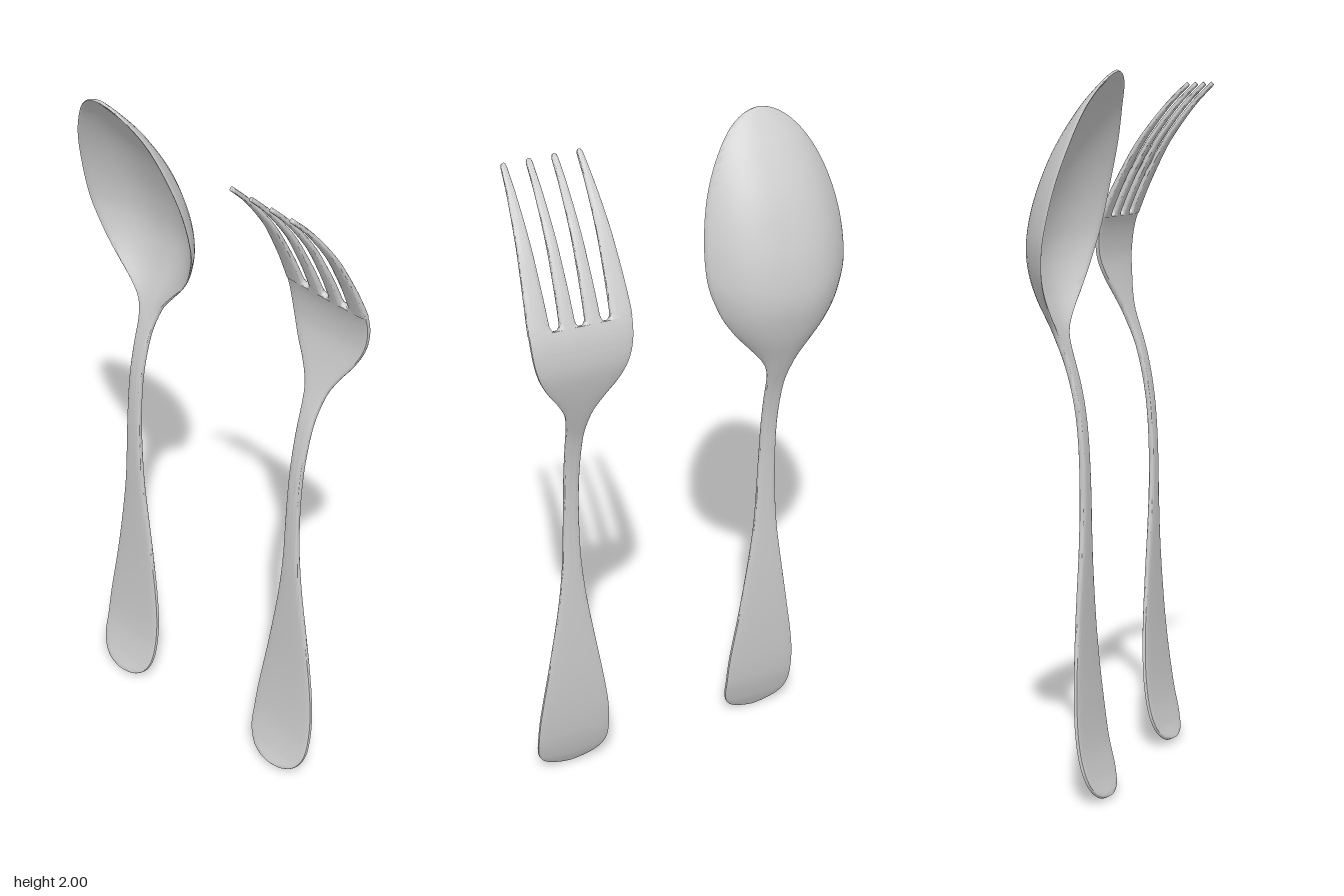
import * as THREE from 'three';
import { toCreasedNormals } from 'three/addons/utils/BufferGeometryUtils.js';

const material = new THREE.MeshStandardMaterial({ color: 0xcccccc });

// Smooth curve through [y, value] pairs, clamped at both ends
function curve(pts) {
  const n = pts.length;
  const slope = (i) => {
    const a = pts[Math.max(i - 1, 0)], b = pts[Math.min(i + 1, n - 1)];
    return (b[1] - a[1]) / (b[0] - a[0]);
  };
  return (y) => {
    if (y <= pts[0][0]) return pts[0][1];
    if (y >= pts[n - 1][0]) return pts[n - 1][1];
    let i = 0;
    while (y > pts[i + 1][0]) i++;
    const h = pts[i + 1][0] - pts[i][0], t = (y - pts[i][0]) / h;
    const t2 = t * t, t3 = t2 * t;
    return (2 * t3 - 3 * t2 + 1) * pts[i][1] + (t3 - 2 * t2 + t) * h * slope(i)
      + (3 * t2 - 2 * t3) * pts[i + 1][1] + (t3 - t2) * h * slope(i + 1);
  };
}

// Width factor that rounds an outline off within h of its end
const roundEnd = (dist, h, p) =>
  dist >= h ? 1 : Math.pow(Math.max(0, 1 - Math.pow(1 - dist / h, p)), 1 / p);

// Closed strip of metal: edges left(y)..right(y), bent along z(y), optionally dished
function strip(name, { y0, y1, left, right, z, thick, dish = () => 0, rows = 110 }) {
  const ring = 40, pos = [], idx = [], e = 1e-3, power = 2.8;
  for (let i = 0; i <= rows; i++) {
    const y = y0 + (y1 - y0) * (0.5 - 0.5 * Math.cos(Math.PI * i / rows));
    const mid = (left(y) + right(y)) / 2;
    const w = Math.max((right(y) - left(y)) / 2, 1e-4);
    const ya = Math.max(y - e, y0), yb = Math.min(y + e, y1);
    for (let j = 0; j < ring; j++) {
      const a = j / ring * Math.PI * 2, u = Math.cos(a), s = Math.sin(a);
      const bowl = Math.pow(Math.abs(u), power);
      const height = (v) => z(v) + dish(v) * bowl;
      const fx = dish(y) * power * Math.pow(Math.abs(u), power - 1) * Math.sign(u) / w;
      const fy = (height(yb) - height(ya)) / (yb - ya);
      const off = thick(y) * Math.sign(s) * Math.pow(Math.abs(s), 0.4) / Math.hypot(fx, fy, 1);
      pos.push(mid + u * w - fx * off, y - fy * off, height(y) + off);
    }
  }
  for (let i = 0; i < rows; i++) {
    for (let j = 0; j < ring; j++) {
      const k = (j + 1) % ring, a = i * ring + j, b = i * ring + k;
      idx.push(a, a + ring, b, b, a + ring, b + ring);
    }
  }
  // end caps
  for (const row of [0, rows]) {
    const c = pos.length / 3, base = row * ring, y = row ? y1 : y0;
    pos.push((left(y) + right(y)) / 2, y, z(y));
    for (let j = 0; j < ring; j++) {
      const a = base + j, b = base + (j + 1) % ring;
      idx.push(c, ...(row ? [b, a] : [a, b]));
    }
  }
  const geo = new THREE.BufferGeometry();
  geo.setAttribute('position', new THREE.Float32BufferAttribute(pos, 3));
  geo.setIndex(idx);
  const mesh = new THREE.Mesh(toCreasedNormals(geo, 0.9), material);
  mesh.name = name;
  return mesh;
}

function createSpoon() {
  const y0 = 0.007, y1 = 1.997;
  const outline = curve([[0, 0.108], [0.15, 0.109], [0.22, 0.106], [0.3, 0.096], [0.4, 0.08],
    [0.6, 0.05], [0.7, 0.037], [0.8, 0.03], [1, 0.024], [1.2, 0.026], [1.25, 0.032], [1.3, 0.05],
    [1.35, 0.09], [1.4, 0.134], [1.45, 0.168], [1.5, 0.19], [1.55, 0.205], [1.61, 0.21], [2, 0.21]]);
  const half = (y) => outline(y) * roundEnd(y - y0, 0.11, 2.5) * roundEnd(y1 - y, 0.39, 1.95);
  return strip('spoon', {
    y0, y1, rows: 150,
    left: (y) => -half(y),
    right: half,
    z: curve([[0.005, 0.09], [0.06, 0.066], [0.15, 0.042], [0.3, 0.027], [0.5, 0.02], [0.85, 0.02],
      [1, 0.014], [1.1, 0.002], [1.2, -0.022], [1.3, -0.06], [1.4, -0.1], [1.5, -0.12],
      [1.6, -0.11], [1.7, -0.08], [1.8, -0.035], [1.9, 0.03], [1.96, 0.08], [2, 0.117]]),
    dish: curve([[1.22, 0], [1.3, 0.012], [1.4, 0.055], [1.5, 0.09], [1.6, 0.102], [1.7, 0.096],
      [1.8, 0.08], [1.9, 0.045], [1.96, 0.02], [2, 0]]),
    thick: curve([[0, 0.009], [1.25, 0.01], [1.45, 0.006], [2, 0.005]]),
  });
}

function createFork() {
  const fork = new THREE.Group();
  fork.name = 'fork';
  const y0 = 0.013, yRoot = 1.58, yTip = 1.962;
  const z = curve([[0.01, 0.058], [0.06, 0.035], [0.15, 0.012], [0.3, -0.004], [0.5, -0.01],
    [0.85, -0.01], [1, -0.017], [1.1, -0.03], [1.2, -0.053], [1.3, -0.09], [1.4, -0.122],
    [1.47, -0.135], [1.55, -0.128], [1.63, -0.098], [1.72, -0.054], [1.8, -0.008],
    [1.9, 0.07], [1.965, 0.135]]);
  const thick = curve([[0, 0.009], [1.2, 0.01], [1.5, 0.011], [1.7, 0.009], [1.97, 0.006]]);
  const outline = curve([[0, 0.112], [0.15, 0.113], [0.22, 0.109], [0.3, 0.098], [0.4, 0.081],
    [0.6, 0.047], [0.7, 0.034], [0.8, 0.026], [1, 0.022], [1.2, 0.025], [1.25, 0.03], [1.3, 0.041],
    [1.35, 0.068], [1.4, 0.102], [1.45, 0.127], [1.5, 0.141], [1.56, 0.147], [1.62, 0.146],
    [1.8, 0.132], [1.962, 0.115]]);

  // handle and palm
  const half = (y) => outline(y) * roundEnd(y - y0, 0.11, 2.5);
  fork.add(strip('handleAndPalm', { y0, y1: yRoot, left: (y) => -half(y), right: half, z, thick }));

  // four tines separated by three round-bottomed slots
  const slotHalf = (y) => (0.015 + 0.0125 * Math.max(0, y - 1.6) / 0.362) * roundEnd(y - yRoot, 0.02, 2);
  const edges = [
    [(y) => -outline(y), (y) => -0.072 - slotHalf(y)],
    [(y) => -0.072 + slotHalf(y), (y) => -slotHalf(y)],
    [slotHalf, (y) => 0.072 - slotHalf(y)],
    [(y) => 0.072 + slotHalf(y), outline],
  ];
  edges.forEach(([l, r], i) => {
    const narrow = (y) => (r(y) - l(y)) / 2 * (1 - roundEnd(yTip - y, 0.01, 2)) * 0.6;
    fork.add(strip('tine' + (i + 1), {
      y0: yRoot, y1: yTip, rows: 44, z, thick,
      left: (y) => l(y) + narrow(y),
      right: (y) => r(y) - narrow(y),
    }));
  });
  return fork;
}

export function createModel() {
  const model = new THREE.Group();
  model.name = 'cutlery';
  const spoon = createSpoon();
  spoon.position.x = -0.282;
  const fork = createFork();
  fork.position.x = 0.342;
  model.add(spoon, fork);
  return model;
}
